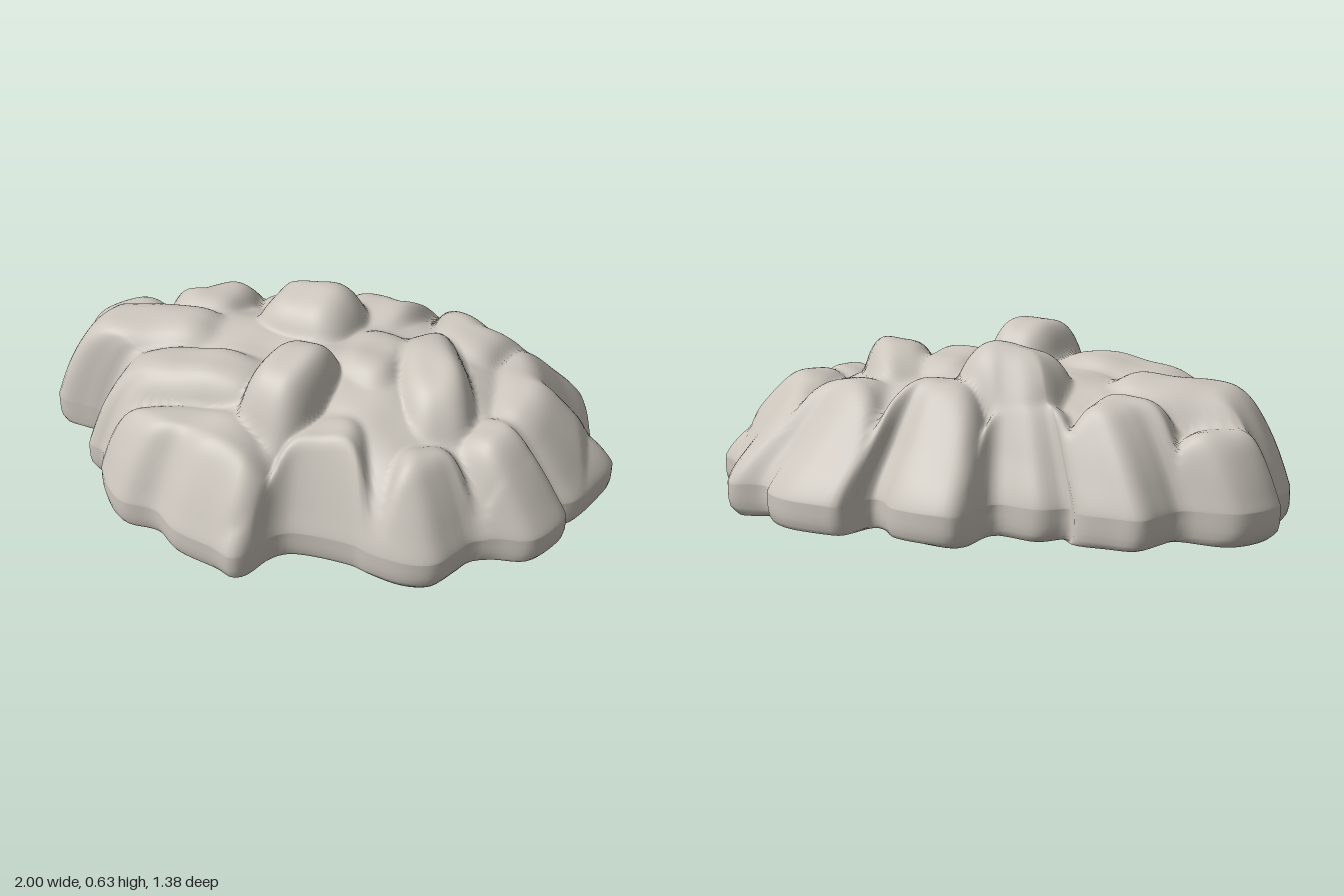
import * as THREE from 'three';

// Footprint of the mound, as x, z pairs from +x round through +z
const OUTLINE = [
  1, -.09, .96, .04, .9, .15, .84, .19, .88, .22, .87, .27, .79, .38, .67, .4, .6, .43, .56, .49,
  .5, .57, .41, .59, .27, .56, .22, .54, 0, .53, -.06, .57, -.12, .67, -.16, .69, -.22, .66, -.38, .6,
  -.47, .52, -.6, .5, -.71, .36, -.74, .26, -.8, .23, -.79, .05, -.87, .03, -.99, 0, -1, -.12, -.97, -.22,
  -1, -.29, -.89, -.43, -.7, -.44, -.66, -.5, -.6, -.59, -.5, -.58, -.38, -.55, -.35, -.5, -.26, -.54, -.1, -.51,
  -.04, -.66, 0, -.69, .2, -.64, .26, -.56, .3, -.54, .38, -.66, .43, -.66, .58, -.62, .66, -.55, .7, -.47,
  .83, -.46, .87, -.38, .92, -.18, .96, -.13,
];

// Boulders: x, z, half width, half depth, turn, top height
const LUMPS = [
  [-.07, .2, .13, .19, .35, .63], [-.1, -.21, .2, .17, .3, .6],
  [.36, 0, .14, .27, -.35, .56], [-.66, -.09, .34, .17, 0, .495],
  [-.42, .14, .34, .16, .1, .51], [-.5, -.36, .18, .22, .1, .47],
  [-.82, -.3, .2, .14, 0, .38], [.11, -.36, .18, .28, .15, .5],
  [.45, -.34, .19, .26, .25, .48], [.7, -.08, .18, .34, -.1, .45],
  [.43, .4, .14, .19, -.3, .43], [.08, .38, .17, .2, 0, .47],
  [-.38, .41, .33, .2, .1, .44], [.73, .24, .15, .18, -.5, .38],
  [.16, -.02, .16, .22, .2, .54], [-.2, -.4, .17, .15, 0, .46],
  [.62, .2, .16, .14, .3, .43],
];

const SIDES = 260;
const RIM = .13;
const smooth = THREE.MathUtils.smoothstep;

// Blocky boulder: a crown rising towards +x, falling away ever more steeply
function lumpHeight([cx, cz, rx, rz, turn, top], x, z) {
  const c = Math.cos(turn), s = Math.sin(turn), dx = x - cx, dz = z - cz;
  const u = Math.abs(dx * c + dz * s) / rx, v = Math.abs(dz * c - dx * s) / rz;
  return top + .1 * dx - .16 * Math.pow(u ** 3 + v ** 3, 1.2);
}

// Soft maximum and minimum keep narrow rounded creases between boulders
function softMax(a, b, k = .02) {
  const h = Math.max(k - Math.abs(a - b), 0) / k;
  return Math.max(a, b) + h * h * k * .25;
}
const softMin = (a, b) => -softMax(-a, -b, .05);

function surfaceHeight(x, z, t) {
  const ripple = .012 * Math.sin(9 * x + 4 * z) * Math.sin(11 * z - 5 * x + 1)
    + .005 * Math.sin(23 * x - 9 * z) * Math.sin(21 * z + 8 * x);
  let y = 0;
  for (const lump of LUMPS) y = softMax(y, lumpHeight(lump, x, z) + ripple);

  // The outer slope is steeper at the -x end and gentler at the back
  const bulge = 2.6 + 2.6 * Math.max(-x, 0) ** 2 - 1.7 * Math.max(-z, 0);
  const slope = RIM + .62 * Math.pow(1 - t ** bulge, .95);
  const dome = RIM + (.38 + ripple) * Math.pow(1 - t ** 2.2, .75);
  return softMax(dome, softMin(y, slope));
}

function undersideHeight(x, z, t) {
  return .014 + .012 * Math.sin(5 * x + 2 * z + 1) * Math.sin(6 * z - 2 * x - 1) + .016 * smooth(t, .7, .97);
}

function createRock() {
  const points = [];
  for (let i = 0; i < OUTLINE.length; i += 2) points.push(new THREE.Vector3(OUTLINE[i], 0, OUTLINE[i + 1]));
  const edge = new THREE.CatmullRomCurve3(points, true, 'centripetal').getSpacedPoints(SIDES).slice(0, SIDES);

  // Softened footprint, so that the notches fade out towards the middle
  const inner = edge.map((_, j) => {
    const p = new THREE.Vector3();
    for (let k = -12; k <= 12; k++) p.add(edge[(j + k + SIDES) % SIDES]);
    return p.divideScalar(25);
  });

  // Rings run from the middle of the underside, round the rim, to the top
  const rings = [];
  for (let i = 0; i <= 14; i++) rings.push({ t: .965 * i / 14, height: undersideHeight });
  for (const [t, y] of [[.982, .036], [.993, .05], [.999, .075], [1, .1]]) rings.push({ t, height: () => y });
  for (let i = 0; i <= 80; i++) rings.push({ t: Math.cos(i / 80 * Math.PI / 2), height: surfaceHeight });

  const position = [], index = [];
  rings.forEach(({ t, height }, i) => {
    const fade = smooth(t, .35, 1);
    for (let j = 0; j < SIDES; j++) {
      const p = inner[j].clone().lerp(edge[j], fade).multiplyScalar(t);
      position.push(p.x, height(p.x, p.z, t), p.z);
      if (i < rings.length - 1) {
        const a = i * SIDES + j, b = i * SIDES + (j + 1) % SIDES;
        index.push(a, a + SIDES, b, b, a + SIDES, b + SIDES);
      }
    }
  });
  const geometry = new THREE.BufferGeometry();
  geometry.setAttribute('position', new THREE.Float32BufferAttribute(position, 3));
  geometry.setIndex(index);

  // Stand the rock on the ground
  geometry.computeBoundingBox();
  geometry.translate(0, -geometry.boundingBox.min.y, 0);
  geometry.computeVertexNormals();
  return geometry;
}

export function createModel() {
  const model = new THREE.Group();
  model.name = 'rockMound';
  const rock = new THREE.Mesh(createRock(), new THREE.MeshStandardMaterial({ color: 0xccc6bd }));
  rock.name = 'rock';
  model.add(rock);
  return model;
}
